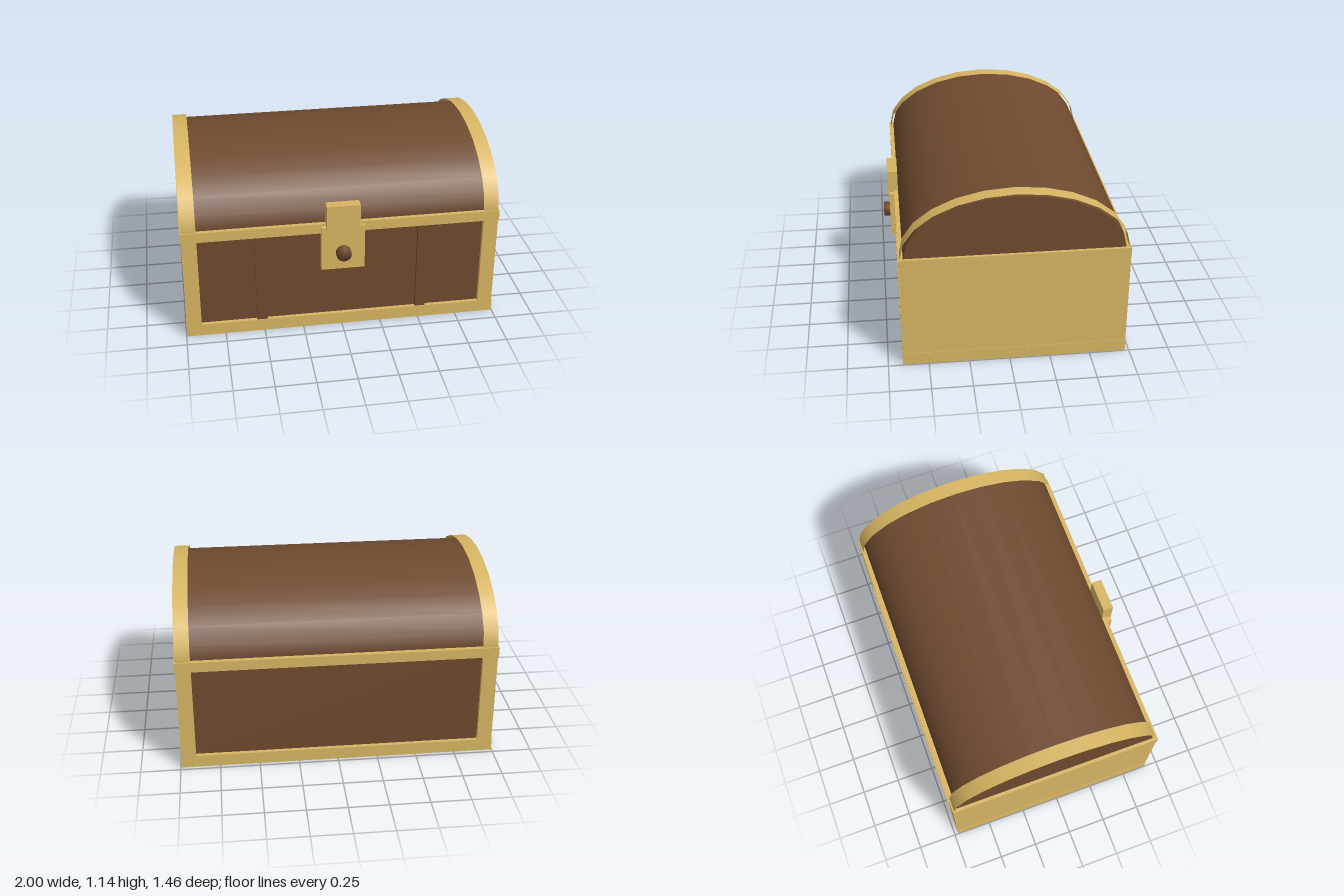
import * as THREE from 'three';
import { mergeVertices } from 'three/addons/utils/BufferGeometryUtils.js';

const gold = new THREE.MeshStandardMaterial({ color: 0xd8b562, side: THREE.DoubleSide });
gold.name = 'gold trim';
const wood = new THREE.MeshStandardMaterial({ color: 0x6f4a2f });
wood.name = 'brown wood';

const MID = -0.032; // centre of the chest body in z
const FRONT = 0.66, BACK = -0.725;
const RIM = 0.745; // height where the lid starts

export function createModel() {
  const chest = new THREE.Group();
  chest.name = 'chest';

  function add(name, geometry, material, x = 0, y = 0, z = 0) {
    const mesh = new THREE.Mesh(geometry, material);
    mesh.name = name;
    mesh.position.set(x, y, z);
    chest.add(mesh);
    return mesh;
  }

  // Box given by its two extreme corners
  function box(name, material, [x0, y0, z0], [x1, y1, z1]) {
    return add(name, new THREE.BoxGeometry(x1 - x0, y1 - y0, z1 - z0), material,
      (x0 + x1) / 2, (y0 + y1) / 2, (z0 + z1) / 2);
  }

  // Half elliptical cylinder lying along x
  function arch(length, height, depth, open) {
    const g = new THREE.CylinderGeometry(1, 1, length, 12, 1, open, 0, Math.PI);
    g.rotateZ(Math.PI / 2);
    g.scale(1, height, depth);
    return g;
  }

  // Wooden body, recessed behind the frame
  box('body', wood, [-0.97, 0.04, -0.7], [0.97, 0.74, 0.635]);

  // Base and top rails
  box('base', gold, [-0.997, 0, BACK], [0.997, 0.08, FRONT]);
  for (const [z0, z1] of [[BACK, -0.685], [0.62, FRONT]]) {
    box('topRail', gold, [-1, 0.68, z0], [1, RIM, z1]);
  }

  for (const s of [-1, 1]) {
    const span = (a, b) => (s > 0 ? [a, b] : [-b, -a]);

    // Side plate and side rail
    const [p0, p1] = span(0.95, 0.994);
    box('sidePlate', gold, [p0, 0.08, BACK], [p1, 0.68, FRONT]);
    const [r0, r1] = span(0.95, 1);
    box('sideRail', gold, [r0, 0.68, BACK], [r1, RIM, FRONT]);

    // Corner posts
    const [c0, c1] = span(0.9, 0.994);
    box('frontPost', gold, [c0, 0.08, 0.6], [c1, 0.68, FRONT]);
    box('backPost', gold, [c0, 0.08, BACK], [c1, 0.68, -0.66]);

    // Wooden strap on the front
    const [w0, w1] = span(0.48, 0.547);
    box('strap', wood, [w0, 0.08, 0.62], [w1, 0.68, 0.655]);

    // Thin band over the end of the lid
    add('lidBand', arch(0.093, 0.395, 0.684, true), gold, s * 0.9465, RIM, MID);
  }

  // Domed lid
  add('lid', arch(1.96, 0.376, 0.664, false), wood, 0, RIM, MID);

  // Lock
  box('hasp', gold, [-0.105, 0.715, 0.632], [0.105, 0.88, 0.698]);
  box('lockPlate', gold, [-0.136, 0.435, 0.64], [0.136, 0.732, 0.69]);

  // Knob with normals smoothed across its rim
  let knob = new THREE.CylinderGeometry(0.047, 0.047, 0.07, 20);
  knob.rotateX(Math.PI / 2);
  knob.deleteAttribute('normal');
  knob.deleteAttribute('uv');
  knob = mergeVertices(knob);
  knob.computeVertexNormals();
  add('knob', knob, wood, 0, 0.555, 0.695);

  return chest;
}
